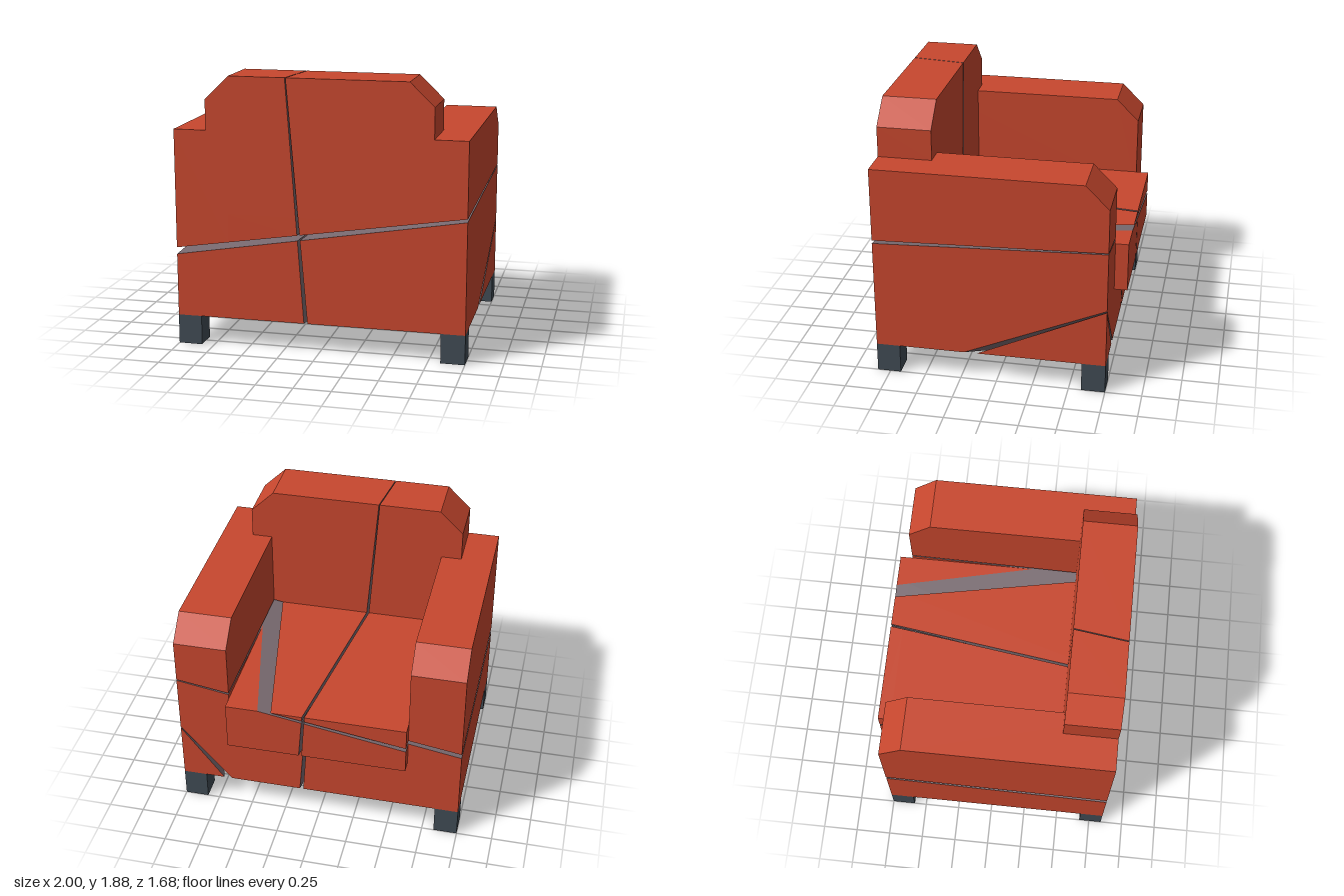
import * as THREE from 'three';

const V = (x, y, z) => new THREE.Vector3(x, y, z);

const upholstery = new THREE.MeshStandardMaterial({ color: 0xc8472e });
upholstery.name = 'red upholstery';
const filling = new THREE.MeshStandardMaterial({ color: 0x786a70 });
filling.name = 'grey filling';
const legPaint = new THREE.MeshStandardMaterial({ color: 0x404b54 });
legPaint.name = 'dark slate';

// A convex solid is a list of faces { pts, mat }; mat 0 = upholstery, 1 = filling
function prism(outline, from, to, place) {
  const a = outline.map(([u, v]) => place(u, v, from));
  const b = outline.map(([u, v]) => place(u, v, to));
  const sides = a.map((p, i) => {
    const j = (i + 1) % a.length;
    return { pts: [p, a[j], b[j], b[i]], mat: 0 };
  });
  return [{ pts: a, mat: 0 }, { pts: b, mat: 0 }, ...sides];
}

const rect = (u0, u1, v0, v1) => [[u0, v0], [u1, v0], [u1, v1], [u0, v1]];
const alongX = (u, v, w) => V(w, v, u);
const alongZ = (u, v, w) => V(u, v, w);

// Keep the part of a solid on the same side of a plane as the inside point; cap the cut
function cut(solid, { points, inside }) {
  const plane = new THREE.Plane().setFromCoplanarPoints(...points);
  if (plane.distanceToPoint(inside) < 0) plane.negate();
  const rim = [];
  const addRim = (p) => {
    if (!rim.some((q) => q.distanceTo(p) < 1e-5)) rim.push(p);
  };
  const result = [];
  for (const { pts, mat } of solid) {
    const kept = [];
    pts.forEach((p, i) => {
      const q = pts[(i + 1) % pts.length];
      const dp = plane.distanceToPoint(p);
      const dq = plane.distanceToPoint(q);
      if (dp >= 0) kept.push(p);
      if (dp * dq < 0) {
        const m = p.clone().lerp(q, dp / (dp - dq));
        kept.push(m);
        addRim(m);
      }
    });
    if (kept.length > 2) result.push({ pts: kept, mat });
  }
  if (rim.length > 2 && result.length) {
    const c = centre(rim);
    const u = rim[0].clone().sub(c).normalize();
    const v = plane.normal.clone().cross(u);
    const angle = (p) => Math.atan2(p.clone().sub(c).dot(v), p.clone().sub(c).dot(u));
    result.push({ pts: rim.sort((p, q) => angle(p) - angle(q)), mat: 1 });
  }
  return result;
}

function centre(pts) {
  return pts.reduce((s, p) => s.add(p), V(0, 0, 0)).divideScalar(pts.length);
}

// Turn a solid into flat-faced geometry, with one group per face
function toGeometry(solid) {
  const geometry = new THREE.BufferGeometry();
  const middle = centre(solid.flatMap((f) => f.pts));
  const verts = [];
  for (const { pts, mat } of solid) {
    const start = verts.length;
    const normal = V(0, 0, 0);
    pts.forEach((p, i) => normal.add(p.clone().sub(middle).cross(pts[(i + 1) % pts.length].clone().sub(middle))));
    pts.forEach((p, i) => {
      const q = pts[(i + 1) % pts.length];
      normal.add(p.clone().sub(pts[0]).cross(q.clone().sub(pts[0])));
    });
    const loop = normal.dot(centre(pts).sub(middle)) < 0 ? [...pts].reverse() : pts;
    for (let i = 1; i < loop.length - 1; i++) verts.push(loop[0], loop[i], loop[i + 1]);
    geometry.addGroup(start, verts.length - start, mat);
  }
  geometry.setFromPoints(verts);
  geometry.computeVertexNormals();
  return geometry;
}

// Armchair parts; the backrest stands at +z and the seat opens toward -z
const armOutline = [[-0.75, 0.205], [0.84, 0.205], [0.84, 1.51], [-0.59, 1.51], [-0.75, 1.35]];
const headOutline = [[-0.775, 1.51], [0.775, 1.51], [0.775, 1.72], [0.61, 1.88], [-0.61, 1.88], [-0.775, 1.72]];
const parts = {
  leftArm: prism(armOutline, 0.63, 1, alongX),
  rightArm: prism(armOutline, -1, -0.63, alongX),
  seatBase: prism(rect(-0.75, 0.84, 0.205, 0.94), -0.63, 0.63, alongX),
  seatLip: prism(rect(-0.84, -0.75, 0.595, 0.94), -0.63, 0.63, alongX),
  backrest: prism(rect(-0.63, 0.63, 0.94, 1.51), 0.47, 0.84, alongZ),
  headrest: prism(headOutline, 0.47, 0.84, alongZ),
};

// Faces of the three wedge-shaped cracks
const tilted = (f) => [[-1, 1], [1, 1], [0, -1]].map(([x, z]) => V(x, f(x, z), z));
const upright = (f) => [[0, 1], [2, 1], [1, -1]].map(([y, z]) => V(f(y, z), y, z));
const above = { points: tilted((x, z) => 0.867 + 0.155 * x - 0.03 * z), inside: V(0, 5, 0) };
const below = { points: tilted((x, z) => 0.84 + 0.1675 * x - 0.039 * z), inside: V(0, -5, 0) };
const rightOf = { points: upright((y, z) => 0.0264 - 0.0714 * y - 0.137 * z), inside: V(-5, 0, 0) };
const leftOf = { points: upright((y, z) => 0.0537 - 0.0827 * y - 0.137 * z), inside: V(5, 0, 0) };
const body = { points: [V(1, 0.622, -0.75), V(1, 0.205, 0.225), V(0.645, 0.205, -0.75)], inside: V(0, 0.5, 0) };
const corner = { points: [V(1, 0.612, -0.75), V(1, 0.205, 0.135), V(0.7, 0.205, -0.75)], inside: V(1, 0.2, -0.75) };

const fragments = {
  upperRightFragment: [above, rightOf],
  upperLeftFragment: [above, leftOf],
  lowerRightFragment: [below, rightOf],
  lowerLeftFragment: [below, leftOf, body],
  cornerFragment: [below, leftOf, corner],
};

export function createModel() {
  const model = new THREE.Group();
  model.name = 'crackedArmchair';

  // Upholstered body, split along the cracks
  for (const [name, cuts] of Object.entries(fragments)) {
    const group = new THREE.Group();
    group.name = name;
    for (const [partName, part] of Object.entries(parts)) {
      const solid = cuts.reduce(cut, part);
      if (solid.length < 4) continue;
      const mesh = new THREE.Mesh(toGeometry(solid), [upholstery, filling]);
      mesh.name = partName;
      group.add(mesh);
    }
    model.add(group);
  }

  // Block legs
  const legGeometry = new THREE.BoxGeometry(0.165, 0.205, 0.163);
  for (const x of [-0.9175, 0.9175]) {
    for (const z of [-0.6685, 0.7585]) {
      const leg = new THREE.Mesh(legGeometry, legPaint);
      leg.name = z > 0 ? 'backrestLeg' : 'seatLeg';
      leg.position.set(x, 0.1025, z);
      model.add(leg);
    }
  }
  return model;
}
